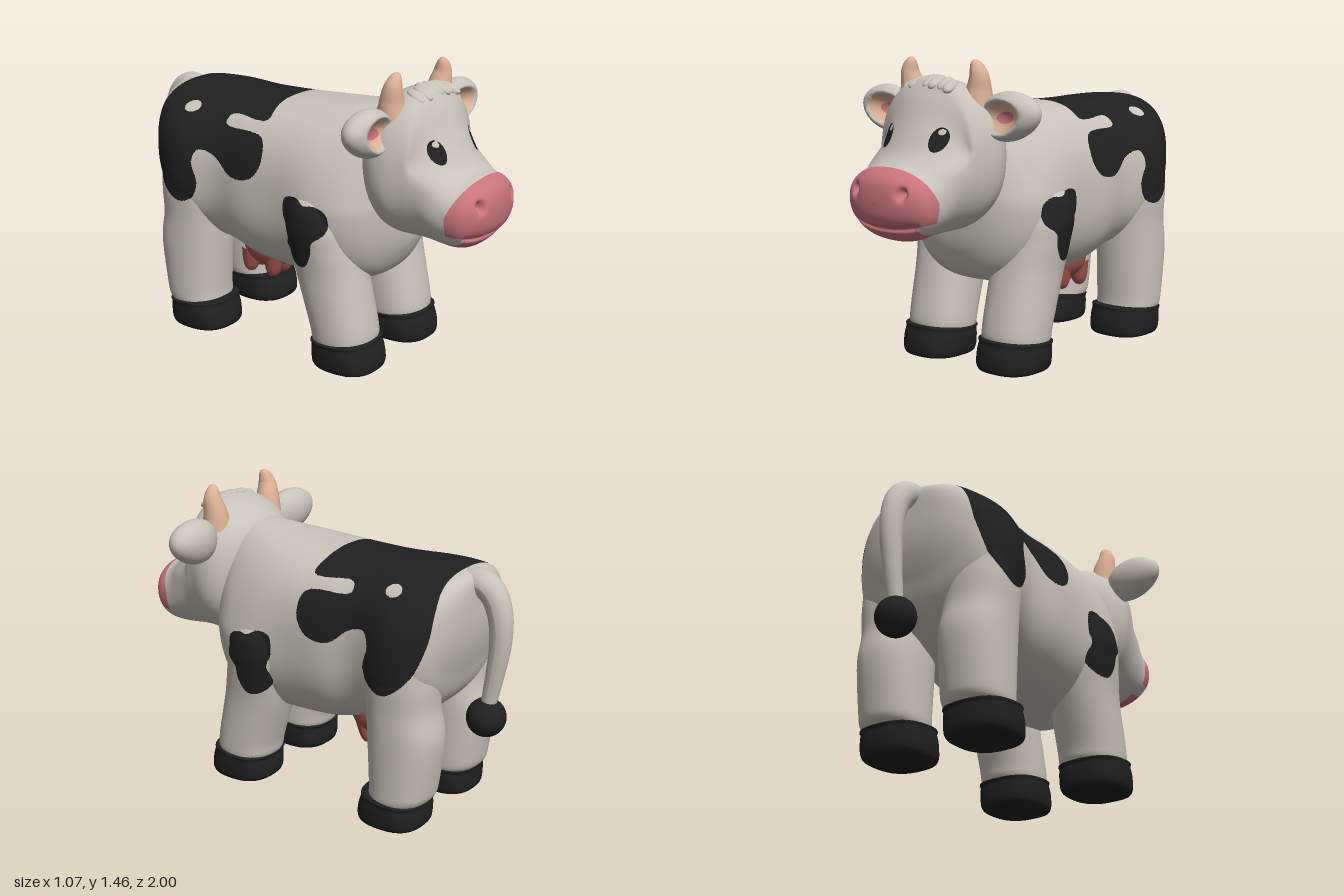
import * as THREE from 'three';

const mat = (name, color) => Object.assign(new THREE.MeshStandardMaterial({ color }), { name });
const white = mat('cream white', 0xc8c3ba);
const black = mat('black', 0x202020);
const pink = mat('muzzle pink', 0xc9747c);
const horn = mat('horn peach', 0xdfb297);
const red = mat('udder red', 0xa5544f);

// Smooth interpolation through rows of numbers
function sampleRows(rows, u) {
  const f = u * (rows.length - 1), i = Math.min(Math.floor(f), rows.length - 2), t = f - i;
  const at = (k) => rows[Math.max(0, Math.min(rows.length - 1, k))];
  const [a, b, c, d] = [at(i - 1), at(i), at(i + 1), at(i + 2)];
  return b.map((v, k) => v + 0.5 * t * (c[k] - a[k]
    + t * (2 * a[k] - 5 * v + 4 * c[k] - d[k] + t * (3 * (v - c[k]) + d[k] - a[k]))));
}

// Skin over rounded-square sections; row = [along, centre, radius, xCentre, xRadius]
function loft(rows, axis, n, segs, steps) {
  const pos = [], index = [];
  for (let i = 0; i <= steps; i++) {
    const [t, c, r, xc, rx] = sampleRows(rows, i / steps);
    for (let j = 0; j < segs; j++) {
      const a = (j / segs) * Math.PI * 2, co = Math.cos(a), si = Math.sin(a);
      const k = Math.pow(Math.abs(co) ** n + Math.abs(si) ** n, -1 / n);
      const x = xc + rx * co * k, o = c + r * si * k;
      if (axis === 'z') pos.push(x, o, t); else pos.push(x, t, o);
    }
  }
  for (let i = 0; i < steps; i++) for (let j = 0; j < segs; j++) {
    const a = i * segs + j, b = i * segs + (j + 1) % segs, c = b + segs, d = a + segs;
    if (axis === 'z') index.push(a, b, c, a, c, d); else index.push(a, c, b, a, d, c);
  }
  const g = new THREE.BufferGeometry();
  g.setAttribute('position', new THREE.Float32BufferAttribute(pos, 3));
  g.setIndex(index);
  g.computeVertexNormals();
  return g;
}

// Sort triangles into colour groups, splitting those that cross a colour edge
function paint(g, count, pick) {
  const pos = [...g.attributes.position.array], nor = [...g.attributes.normal.array], idx = g.index.array;
  const lists = Array.from({ length: count }, () => []);
  const pickAt = (...v) => pick(...[0, 1, 2].map((k) => v.reduce((s, i) => s + pos[i * 3 + k], 0) / v.length));
  const middle = (a, b) => {
    for (const arr of [pos, nor]) for (let k = 0; k < 3; k++) arr.push((arr[a * 3 + k] + arr[b * 3 + k]) / 2);
    return pos.length / 3 - 1;
  };
  const place = (a, b, c, depth) => {
    const m = pickAt(a, b, c);
    if (depth === 0 || [a, b, c].every((v) => pickAt(v) === m)) return lists[m].push(a, b, c);
    const ab = middle(a, b), bc = middle(b, c), ca = middle(c, a);
    for (const t of [[a, ab, ca], [ab, b, bc], [ca, bc, c], [ab, bc, ca]]) place(...t, depth - 1);
  };
  for (let i = 0; i < idx.length; i += 3) place(idx[i], idx[i + 1], idx[i + 2], 3);
  const out = new THREE.BufferGeometry();
  out.setAttribute('position', new THREE.Float32BufferAttribute(pos, 3));
  out.setAttribute('normal', new THREE.Float32BufferAttribute(nor, 3));
  out.setIndex(lists.flat());
  let start = 0;
  lists.forEach((l, m) => { out.addGroup(start, l.length, m); start += l.length; });
  return out;
}

// Move every vertex by a rule
function reshape(g, rule) {
  const p = g.attributes.position;
  for (let i = 0; i < p.count; i++) p.setXYZ(i, ...rule(p.getX(i), p.getY(i), p.getZ(i)));
  g.computeVertexNormals();
  return g;
}

// Round tube whose radius follows a function of its length
function taperedTube(points, radius, segs = 32) {
  const curve = new THREE.CatmullRomCurve3(points.map((q) => new THREE.Vector3(...q)));
  const g = new THREE.TubeGeometry(curve, segs, 1, 20, false);
  const p = g.attributes.position, nm = g.attributes.normal;
  for (let i = 0; i < p.count; i++) {
    const u = Math.floor(i / 21) / segs, c = curve.getPointAt(u), r = radius(u);
    p.setXYZ(i, c.x + nm.getX(i) * r, c.y + nm.getY(i) * r, c.z + nm.getZ(i) * r);
  }
  g.computeVertexNormals();
  return g;
}

// Coat patches as closed outlines in [z, y]
const outline = (pts) => new THREE.CatmullRomCurve3(
  pts.map(([z, y]) => new THREE.Vector3(z, y, 0)), true, 'centripetal').getPoints(120);
const rumpPatch = outline([[-0.12, 1.5], [-0.12, 1.22], [-0.11, 1.15], [-0.33, 1.145], [-0.34, 1.105],
  [-0.1, 1.075], [-0.08, 0.96], [-0.14, 0.88], [-0.26, 0.87], [-0.37, 0.95], [-0.46, 0.97], [-0.49, 0.91],
  [-0.465, 0.8], [-0.5, 0.72], [-0.58, 0.695], [-0.69, 0.775], [-0.76, 0.935], [-0.775, 1.1],
  [-0.76, 1.23], [-0.76, 1.5]]);
const shoulderPatch = outline([[0.31, 0.79], [0.25, 0.82], [0.195, 0.82], [0.14, 0.845], [0.075, 0.83],
  [0.065, 0.75], [0.09, 0.67], [0.075, 0.59], [0.13, 0.525], [0.2, 0.52], [0.245, 0.59],
  [0.255, 0.65], [0.315, 0.705]]);
function inside(poly, z, y) {
  let hit = false;
  for (let i = 0, j = poly.length - 1; i < poly.length; j = i++) {
    const a = poly[i], b = poly[j];
    if ((a.y > y) !== (b.y > y) && z < ((b.x - a.x) * (y - a.y)) / (b.y - a.y) + a.x) hit = !hit;
  }
  return hit;
}
const oval = (x, y, rx, ry) => (x / rx) ** 2 + (y / ry) ** 2 < 1;
function coat(x, y, z) {
  if (Math.abs(x) > 0.25 && inside(shoulderPatch, z, y)) return 1;
  const hole = oval(z + 0.56, y - 1.155, 0.043, 0.022);
  return (y > 1.1 || Math.abs(x) > 0.22) && inside(rumpPatch, z, y) && !hole ? 1 : 0;
}

// Muzzle, lip and eyes: 0 white, 1 black, 2 pink
const mouthY = (x) => 0.727 + 0.6 * x * x;
function face(x, y, z) {
  const ax = Math.abs(x);
  if (z > 0.6 && oval(ax - 0.155, y - 1.11, 0.039, 0.053)) {
    return oval(x - Math.sign(x) * 0.155 - 0.005, y - 1.143, 0.016, 0.013) ? 0 : 1;
  }
  if (y < mouthY(x)) return z > 0.82 && ax < 0.18 ? 2 : 0;
  return z > 0.85 + Math.max(0, y - 0.85) * 0.45 ? 2 : 0;
}

// Rounds the forehead and presses in the nostrils and the mouth line
function sculptFace(x, y, z) {
  const ax = Math.abs(x);
  if (z < 0.66) return [x, y, z];
  const brow = THREE.MathUtils.smoothstep(y, 0.96, 1.08) * THREE.MathUtils.smoothstep(z, 0.66, 0.76) * x * x;
  const muzzle = THREE.MathUtils.smoothstep(z, 0.86, 0.92);
  const nostril = Math.exp(-(((ax - 0.14) / 0.02) ** 2 + ((y - 0.893) / 0.025) ** 2));
  const groove = Math.exp(-(((y - mouthY(x)) / 0.012) ** 2)) * (1 - THREE.MathUtils.smoothstep(ax, 0.16, 0.21));
  return [x, y, z - 0.9 * brow - muzzle * (0.045 * nostril + 0.02 * groove)];
}

// [z, bottom, top, halfWidth] to a loft row
const spine = ([z, b, t, w]) => [z, (b + t) / 2, (t - b) / 2, 0, w];

export function createModel() {
  const cow = new THREE.Group();
  cow.name = 'cow';
  const add = (name, geo, m, x = 0, y = 0, z = 0) => {
    const mesh = new THREE.Mesh(geo, m);
    mesh.name = name;
    mesh.position.set(x, y, z);
    cow.add(mesh);
    return mesh;
  };
  const blob = (name, m, r, p, segs) => {
    const mesh = add(name, new THREE.SphereGeometry(1, segs, Math.round(segs * 0.7)), m, ...p);
    mesh.scale.set(...r);
    return mesh;
  };

  // Body, narrowing upwards at the shoulders
  const body = [[-0.84, 1.05, 1.052, 0.001], [-0.838, 0.97, 1.15, 0.11], [-0.825, 0.88, 1.2, 0.2],
    [-0.79, 0.76, 1.22, 0.29], [-0.73, 0.61, 1.228, 0.365], [-0.58, 0.49, 1.228, 0.42],
    [-0.38, 0.445, 1.225, 0.375], [-0.2, 0.395, 1.225, 0.39], [0, 0.375, 1.235, 0.385],
    [0.2, 0.38, 1.25, 0.4], [0.34, 0.4, 1.265, 0.38], [0.43, 0.44, 1.27, 0.33],
    [0.49, 0.53, 1.24, 0.26], [0.52, 0.64, 1.12, 0.17], [0.53, 0.859, 0.861, 0.001]].map(spine);
  const torso = reshape(loft(body, 'z', 2.5, 96, 110), (x, y, z) => [
    x * (1 - 0.75 * THREE.MathUtils.smoothstep(z, -0.05, 0.45) * Math.max(0, y - 0.8)), y, z]);
  add('body', paint(torso, 2, coat), [white, black]);

  // Head
  const head = [[0.34, 1.05, 1.052, 0.001], [0.36, 0.9, 1.22, 0.13], [0.4, 0.78, 1.28, 0.23],
    [0.47, 0.71, 1.33, 0.3], [0.55, 0.675, 1.365, 0.32], [0.64, 0.668, 1.37, 0.298],
    [0.7, 0.665, 1.3, 0.28], [0.76, 0.66, 1.175, 0.266], [0.82, 0.657, 1.06, 0.253],
    [0.87, 0.662, 1.01, 0.247], [0.91, 0.68, 0.997, 0.238], [0.945, 0.715, 0.98, 0.21],
    [0.975, 0.75, 0.955, 0.16], [0.993, 0.79, 0.915, 0.09], [1, 0.852, 0.853, 0.001]].map(spine);
  const skull = reshape(loft(head, 'z', 2.25, 112, 126), sculptFace);
  add('head', paint(skull, 3, face), [white, black, pink]);

  // Forelock
  for (let i = -3; i <= 3; i++) {
    const lock = blob('forelockCurl', white, [0.032, 0.024, 0.06],
      [i * 0.04, 1.353 - i * i * 0.002, 0.625 + (i % 2) * 0.012], 16);
    lock.rotation.set(0.35, i * 0.12, 0);
  }

  // Tail and tuft
  add('tail', taperedTube([[0, 1.14, -0.74], [0, 1.17, -0.83], [0, 1.13, -0.895], [0, 1.04, -0.935],
    [0, 0.91, -0.945], [0, 0.75, -0.925], [0, 0.55, -0.89]], (u) => 0.072 - 0.038 * u), white);
  blob('tailTuft', black, [0.095, 0.093, 0.093], [0, 0.527, -0.89], 32);

  // Udder
  blob('udder', red, [0.125, 0.125, 0.155], [0, 0.415, -0.31], 32);

  const frontLeg = [[0.12, 0.325, 0.14, 0.235, 0.148], [0.15, 0.32, 0.152, 0.235, 0.158],
    [0.22, 0.31, 0.158, 0.236, 0.161], [0.45, 0.25, 0.17, 0.24, 0.163], [0.6, 0.22, 0.17, 0.25, 0.172],
    [0.72, 0.2, 0.165, 0.262, 0.17], [0.84, 0.18, 0.13, 0.25, 0.145], [0.96, 0.17, 0.01, 0.22, 0.01]];
  const backLeg = [[0.125, -0.575, 0.135, 0.235, 0.148], [0.155, -0.592, 0.15, 0.235, 0.158],
    [0.22, -0.6, 0.158, 0.235, 0.161], [0.45, -0.607, 0.178, 0.236, 0.165], [0.6, -0.592, 0.168, 0.24, 0.163],
    [0.75, -0.59, 0.168, 0.25, 0.16], [0.9, -0.6, 0.13, 0.25, 0.14], [1, -0.6, 0.01, 0.23, 0.01]];
  const hoof = [[0, 0, 0.0005, 0, 0.0005], [0.002, 0, 0.13, 0, 0.125], [0.02, 0, 0.164, 0, 0.157],
    [0.08, -0.005, 0.165, 0, 0.164], [0.13, -0.012, 0.155, 0, 0.162], [0.155, -0.016, 0.146, 0, 0.152],
    [0.158, -0.016, 0.0005, 0, 0.0005]];

  for (const s of [1, -1]) {
    const side = s > 0 ? 'left' : 'right';

    // Legs, and hooves whose tops slope down to the heel
    for (const [label, rows, z] of [['Front', frontLeg, 0.343], ['Back', backLeg, -0.553]]) {
      const mirrored = rows.map(([y, c, r, x, rx]) => [y, c, r, x * s, rx]);
      add(`${side}${label}Leg`, paint(loft(mirrored, 'y', 2.3, 48, 44), 2, coat), [white, black]);
      const foot = reshape(loft(hoof, 'y', 2.6, 40, 24), (x, y, d) => [x, y * (0.97 + 0.45 * d), d]);
      add(`${side}${label}Hoof`, foot, black, 0.238 * s, 0, z);
    }

    // Horn
    add(`${side}Horn`, taperedTube([[0.195 * s, 1.24, 0.54], [0.205 * s, 1.32, 0.54], [0.212 * s, 1.39, 0.55],
      [0.19 * s, 1.455, 0.56]], (u) => (0.075 - 0.045 * u) * Math.sqrt(Math.max(0, 1 - u ** 8))), horn);

    // Ear, hollowed at the front
    const ear = reshape(new THREE.SphereGeometry(1, 48, 36), (x, y, z) => {
      const d = Math.hypot((x * s + 0.2) / 0.75, y / 0.7);
      const dent = z > 0 ? Math.max(0, 1 - d * d) : 0;
      return [x * 0.155, y * (0.11 - 0.014 * x * s), (z - dent) * 0.082];
    });
    const lining = (x, y, z) => {
      const u = x * s + 0.022;
      if (z < -0.025 || !oval(u, y, 0.092, 0.068)) return 0;
      return oval(u + 0.004, y + 0.004, 0.055, 0.026) ? 2 : 1;
    };
    const earMesh = add(`${side}Ear`, paint(ear, 3, lining), [white, horn, pink], 0.383 * s, 1.212, 0.53);
    earMesh.rotation.set(0, 0.05 * s, 0.15 * s);

    // Teats
    for (const z of [-0.265, -0.41]) {
      add(`${side}Teat`, taperedTube([[0.043 * s, 0.38, z + 0.01], [0.045 * s, 0.31, z], [0.047 * s, 0.245, z - 0.005]],
        (u) => (0.06 - 0.025 * u) * Math.sqrt(Math.max(0, 1 - u ** 6)), 14), red);
    }
  }
  return cow;
}
